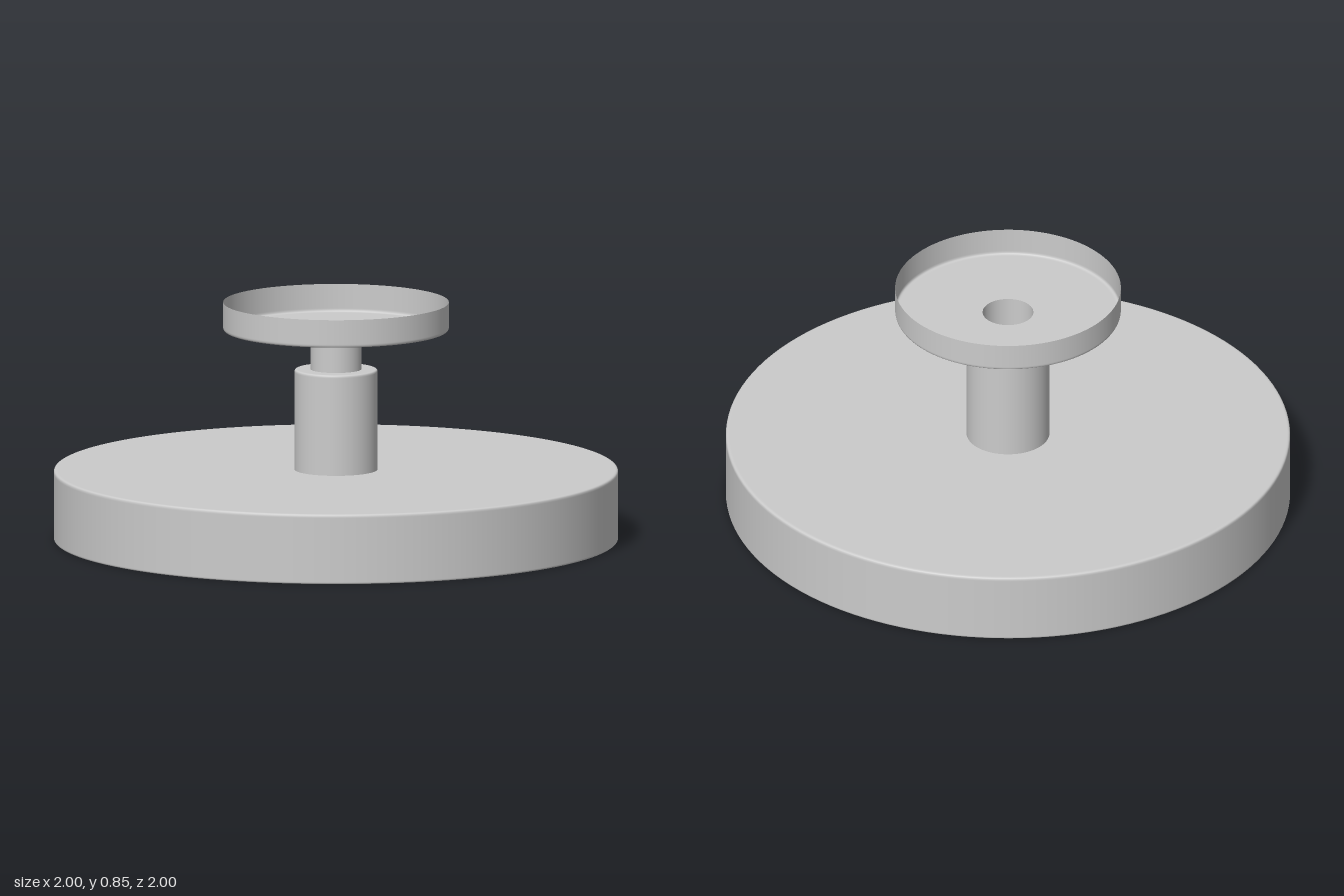
import * as THREE from 'three';

const SEGMENTS = 128;

// Profile of [radius, y, bevel] corners; bevelled corners become small arcs
// with a support point on each side so the flats stay flat.
function bevelProfile(corners) {
  const pts = [];
  corners.forEach(([r, y, bevel], i) => {
    const p = new THREE.Vector2(r, y);
    if (!bevel) { pts.push(p); return; }
    const toward = (j, d) => {
      const q = new THREE.Vector2(corners[j][0], corners[j][1]);
      return q.sub(p).normalize().multiplyScalar(d).add(p);
    };
    const arc = new THREE.QuadraticBezierCurve(toward(i - 1, bevel), p, toward(i + 1, bevel));
    pts.push(toward(i - 1, bevel * 1.3), ...arc.getPoints(4), toward(i + 1, bevel * 1.3));
  });
  return pts;
}

export function createModel() {
  const group = new THREE.Group();
  const solid = new THREE.MeshStandardMaterial({ color: 0xcccccc });
  const thin = new THREE.MeshStandardMaterial({ color: 0xcccccc, side: THREE.DoubleSide });

  const add = (name, geometry, material) => {
    const mesh = new THREE.Mesh(geometry, material);
    mesh.name = name;
    group.add(mesh);
    return mesh;
  };
  const turned = (name, corners, material) =>
    add(name, new THREE.LatheGeometry(bevelProfile(corners), SEGMENTS), material);

  // Wide drum with a narrow rim around its underside
  turned('drum', [
    [0.947, 0.015, 0], [0.947, 0, 0.003], [1, 0, 0.006], [1, 0.25, 0.01], [0, 0.25, 0],
  ], solid);

  // Flat panel recessed into the underside
  const panel = add('diffuserPanel', new THREE.CircleGeometry(0.947, SEGMENTS), thin);
  panel.rotation.x = Math.PI / 2;
  panel.position.y = 0.015;

  // Thick sleeve standing on the drum
  turned('sleeve', [[0.147, 0.25, 0], [0.147, 0.61, 0.008], [0, 0.61, 0]], solid);

  // Hollow stem, open into the cup
  const stem = add('stem', new THREE.CylinderGeometry(0.09, 0.09, 0.14, 64, 1, true), thin);
  stem.position.y = 0.68;

  // Shallow open cup with a hole in its floor
  turned('canopyCup', [[0.09, 0.75, 0], [0.4, 0.75, 0.01], [0.4, 0.85, 0]], thin);

  return group;
}
